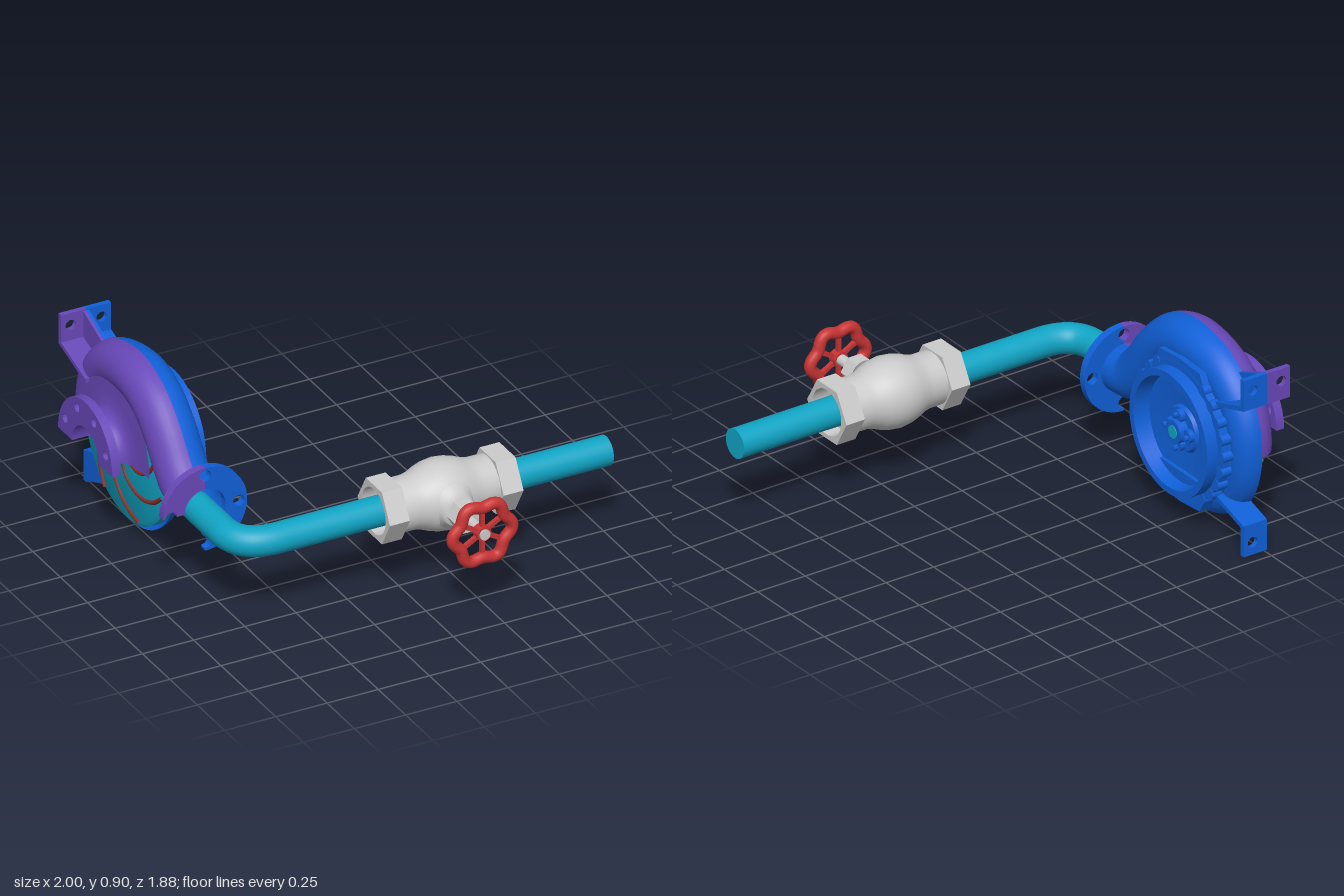
import * as THREE from 'three';
import { toCreasedNormals } from 'three/addons/utils/BufferGeometryUtils.js';

const PI = Math.PI, CX = -0.765, CY = 0.435, CZ = -0.49;
const paint = (color) => new THREE.MeshStandardMaterial({ color, side: THREE.DoubleSide });
const V2 = (p) => new THREE.Vector2(p[0], p[1]);

export function createModel() {
  const model = new THREE.Group();
  const blue = paint(0x1060d8), purple = paint(0x6848b8), teal = paint(0x10a4c4);
  const red = paint(0xc83434), rust = paint(0x8a3028), grey = paint(0xcccccc);

  const add = (name, geo, mat, x = 0, y = 0, z = 0, parent = model) => {
    const mesh = new THREE.Mesh(geo, mat);
    mesh.name = name;
    mesh.position.set(x, y, z);
    parent.add(mesh);
    return mesh;
  };
  // Profile of [radius, x] turned about the x axis; half = upper half only
  const turnX = (pts, half = false) => toCreasedNormals(
    new THREE.LatheGeometry(pts.map(V2), half ? 32 : 64, half ? PI : 0, half ? PI : 2 * PI).rotateZ(-PI / 2), 0.6);
  const rod = (r, len, axis, sides = 24) => {
    const g = new THREE.CylinderGeometry(r, r, len, sides);
    return axis === 'x' ? g.rotateZ(-PI / 2) : g.rotateX(PI / 2);
  };
  const extrude = (shape, depth) => toCreasedNormals(
    new THREE.ExtrudeGeometry(shape, { depth, bevelEnabled: false, curveSegments: 32 }), 0.6);
  const circleHole = (x, y, r) => new THREE.Path().absarc(x, y, r, 0, 2 * PI, true);

  // Flange sector with bolt holes, and half holes on its cut edges if wanted
  const sector = (R, r, a0, a1, bolt, hr, holes, notch) => {
    const s = new THREE.Shape();
    s.absarc(0, 0, R, a0, a1, false);
    if (notch) s.absarc(bolt * Math.cos(a1), bolt * Math.sin(a1), hr, a1, a1 - PI, true);
    s.absarc(0, 0, r, a1, a0, true);
    if (notch) s.absarc(bolt * Math.cos(a0), bolt * Math.sin(a0), hr, a0 + PI, a0, true);
    for (const a of holes) s.holes.push(circleHole(bolt * Math.cos(a), bolt * Math.sin(a), hr));
    return s;
  };

  // Volute centreline: spiral around the shaft, then an S-bend to the outlet
  const path = [];
  const turn = [[0.325, 0.332], [0.332, 0.323], [0.323, 0.352]];
  for (let k = 0; k < 12; k++) {
    const [a, b] = turn[Math.floor(k / 4)], f = (k % 4) / 4, ang = -k * PI / 8;
    const rho = a + (b - a) * f;
    path.push(new THREE.Vector3(0, CY + rho * Math.sin(ang), CZ + rho * Math.cos(ang)));
  }
  for (const [z, y] of [[-0.415, 0.79], [-0.27, 0.745], [-0.16, 0.65], [-0.05, 0.51], [0.03, 0.44], [0.14, 0.425]])
    path.push(new THREE.Vector3(0, y, z));
  const spiral = new THREE.CatmullRomCurve3(path);

  // Half tube on one side of the mid plane, trimmed below the given height
  const halfVolute = (side, minY) => {
    const N = 110, M = 18, pos = [], idx = [];
    for (let i = 0; i <= N; i++) {
      const u = i / N, p = spiral.getPointAt(u), t = spiral.getTangentAt(u);
      const r = Math.min(0.115, 0.06 + 0.055 * u / 0.7);
      for (let j = 0; j <= M; j++) {
        const a = PI * j / M, c = r * Math.cos(a);
        pos.push(side * r * 1.02 * Math.sin(a), Math.max(minY, p.y + t.z * c), p.z - t.y * c);
      }
    }
    for (let i = 0; i < N; i++) for (let j = 0; j < M; j++) {
      const a = i * (M + 1) + j, b = a + 1, c = a + M + 1, d = c + 1;
      if ([a, b, c, d].every((k) => pos[k * 3 + 1] <= minY)) continue;
      if (side > 0) idx.push(a, b, c, b, d, c);
      else idx.push(a, c, b, b, c, d);
    }
    const g = new THREE.BufferGeometry();
    g.setAttribute('position', new THREE.Float32BufferAttribute(pos, 3));
    g.setIndex(idx);
    g.computeVertexNormals();
    return g;
  };
  add('rearVolute', halfVolute(1, -1), blue, CX);
  add('frontVolute', halfVolute(-1, CY), purple, CX);

  // Outlet flange: half on the rear casing, a quarter on the cut front casing
  add('rearOutletFlange', extrude(sector(0.205, 0.1, -PI / 2, PI / 2, 0.165, 0.028, [0], true), 0.037), blue, CX, 0.42, 0.128);
  add('frontOutletFlange', extrude(sector(0.205, 0.1, PI / 2, PI, 0.165, 0.028, [], true), 0.037), purple, CX, 0.42, 0.128);

  // Suction inlet, upper half only
  add('suctionNeck', turnX([[0.12, -0.1], [0.12, -0.2], [0.15, -0.2], [0.15, -0.17], [0.158, -0.145],
    [0.175, -0.125], [0.205, -0.112], [0.26, -0.106], [0.335, -0.1]], true), purple, CX, CY, CZ);
  const inletHoles = [1, 3, 5, 7].map((k) => k * PI / 8);
  add('suctionFlange', extrude(sector(0.248, 0.12, 0, PI, 0.2, 0.022, inletHoles), 0.04).rotateY(PI / 2),
    purple, -1, CY, CZ);

  // Back cover with recessed face
  add('backCover', turnX([[0.345, 0.07], [0.32, 0.1], [0.32, 0.142], [0.292, 0.142], [0.292, 0.2], [0.26, 0.2],
    [0.248, 0.125], [0.11, 0.115], [0.1, 0.13], [0.055, 0.13], [0.055, 0.175], [0.02, 0.175]]), blue, CX, CY, CZ);
  for (const side of [0, PI]) for (let k = -4; k <= 4; k++) {
    const a = side + k * 0.25;
    add('coverBoltLug', rod(0.026, 0.05, 'x', 16), blue, CX + 0.12, CY + 0.312 * Math.sin(a), CZ + 0.312 * Math.cos(a));
  }
  for (const s of [1, -1]) {
    const pad = new THREE.Shape([[-0.22, 0.2], [0.22, 0.2], [0.15, 0.335], [0, 0.348], [-0.15, 0.335]].map(V2));
    add('coverPad', extrude(pad, 0.06).rotateY(PI / 2), blue, CX + 0.08, CY, CZ).rotation.x = s > 0 ? 0 : PI;
  }
  // Shaft gland
  for (let k = 0; k < 4; k++) {
    const c = Math.cos(k * PI / 2), s = Math.sin(k * PI / 2);
    add('glandLug', rod(0.03, 0.04, 'x'), blue, CX + 0.135, CY + 0.07 * s, CZ + 0.07 * c);
    add('glandBolt', rod(0.013, 0.06, 'x', 6), blue, CX + 0.145, CY + 0.08 * s, CZ + 0.08 * c);
  }
  add('shaft', rod(0.03, 0.24, 'x'), teal, CX + 0.06, CY, CZ);

  // Impeller with swept vanes
  add('impeller', turnX([[0, -0.1], [0.03, -0.095], [0.05, -0.06], [0.12, -0.045], [0.36, -0.042],
    [0.38, -0.03], [0.38, 0.02], [0, 0.03]]), teal, CX, CY, CZ);
  for (let k = 0; k < 7; k++) {
    const pts = [];
    for (let i = 0; i <= 6; i++) {
      const r = 0.1 + 0.26 * i / 6, a = k * 2 * PI / 7 + 1.5 * i / 6;
      pts.push(new THREE.Vector3(0, r * Math.sin(a), r * Math.cos(a)));
    }
    add('impellerVane', new THREE.TubeGeometry(new THREE.CatmullRomCurve3(pts), 24, 0.01, 8), rust, CX - 0.043, CY, CZ);
  }

  // Mounting feet: drilled plate, sloping shelf and thin web
  const foot = (name, side, up, mat) => {
    const g = new THREE.Group();
    g.name = name;
    g.position.set(CX, CY, 0);
    g.scale.set(side, up, 1);
    const plate = new THREE.Shape([[0, 0.28], [0.122, 0.28], [0.122, 0.43], [0, 0.43]].map(V2));
    plate.holes.push(circleHole(0.075, 0.37, 0.025));
    add('footPlate', extrude(plate, 0.024), mat, 0, 0, -0.945, g);
    const shelf = new THREE.Shape([[0.7, 0.205], [0.942, 0.28], [0.942, 0.302], [0.7, 0.227]].map(V2));
    add('footShelf', extrude(shelf, 0.122).rotateY(PI / 2), mat, 0, 0, 0, g);
    const web = new THREE.Shape([[0.7, 0.21], [0.94, 0.285], [0.94, 0.43], [0.7, 0.335]].map(V2));
    add('footWeb', extrude(web, 0.014).rotateY(PI / 2), mat, 0, 0, 0, g);
    model.add(g);
  };
  foot('upperRearFoot', 1, 1, blue);
  foot('lowerRearFoot', 1, -1, blue);
  foot('upperFrontFoot', -1, 1, purple);

  // Pipe with one elbow
  const P = (x, z) => new THREE.Vector3(x, 0.42, z);
  const run = new THREE.CurvePath();
  run.add(new THREE.LineCurve3(P(-0.785, 0.12), P(-0.785, 0.36)));
  run.add(new THREE.QuadraticBezierCurve3(P(-0.785, 0.36), P(-0.785, 0.527), P(-0.6, 0.527)));
  run.add(new THREE.LineCurve3(P(-0.6, 0.527), P(1, 0.527)));
  add('pipe', new THREE.TubeGeometry(run, 120, 0.069, 32), teal);
  add('pipeEnd', new THREE.CircleGeometry(0.069, 32).rotateY(PI / 2), teal, 1, 0.42, 0.527);
  add('pipeStart', new THREE.CircleGeometry(0.069, 32), teal, -0.785, 0.42, 0.12);

  // Globe valve
  const valve = new THREE.Group();
  valve.name = 'valve';
  valve.position.set(0.19, 0.425, 0.527);
  model.add(valve);
  const bulge = [[0.122, -0.25], [0.123, -0.16], [0.13, -0.125], [0.145, -0.09], [0.157, -0.05], [0.163, 0]];
  const outer = [...bulge, ...bulge.slice(0, 5).reverse().map(([r, x]) => [r, -x])];
  add('valveBody', turnX([[0.087, -0.25], ...outer, [0.087, 0.25], [0.087, -0.25]]), grey, 0, 0, 0, valve);
  const hexShape = (r) => new THREE.Shape(Array.from({ length: 6 }, (_, k) =>
    new THREE.Vector2(r * Math.cos(k * PI / 3), r * Math.sin(k * PI / 3))));
  for (const x of [-0.325, 0.23]) {
    const nut = hexShape(0.148);
    nut.holes.push(circleHole(0, 0, 0.108));
    add('valveNut', extrude(nut, 0.097).rotateY(PI / 2), grey, x, 0, 0, valve);
  }
  const bonnet = [[0.115, 0.1], [0.105, 0.13], [0.08, 0.15], [0.07, 0.185], [0, 0.185]].map(V2);
  add('bonnet', new THREE.LatheGeometry(bonnet, 40).rotateX(PI / 2), grey, 0, 0, 0, valve);
  add('bonnetNut', extrude(hexShape(0.07), 0.08), grey, 0, 0, 0.183, valve);
  add('valveStem', rod(0.025, 0.16, 'z'), grey, 0, 0, 0.33, valve);

  // Scalloped handwheel
  const rim = Array.from({ length: 48 }, (_, i) => {
    const a = i * PI / 24, r = 0.134 + 0.012 * Math.cos(6 * a);
    return new THREE.Vector3(r * Math.cos(a), r * Math.sin(a), 0);
  });
  add('handwheelRim', new THREE.TubeGeometry(new THREE.CatmullRomCurve3(rim, true), 96, 0.027, 14, true), red, 0, 0, 0.383, valve);
  add('handwheelHub', rod(0.035, 0.045, 'z'), red, 0, 0, 0.38, valve);
  for (let k = 0; k < 6; k++) {
    const spoke = new THREE.BoxGeometry(0.1, 0.018, 0.02).translate(0.075, 0, 0);
    add('handwheelSpoke', spoke, red, 0, 0, 0.38, valve).rotation.z = PI / 6 + k * PI / 3;
  }
  add('stemNut', rod(0.025, 0.015, 'z', 6), grey, 0, 0, 0.405, valve);
  return model;
}
